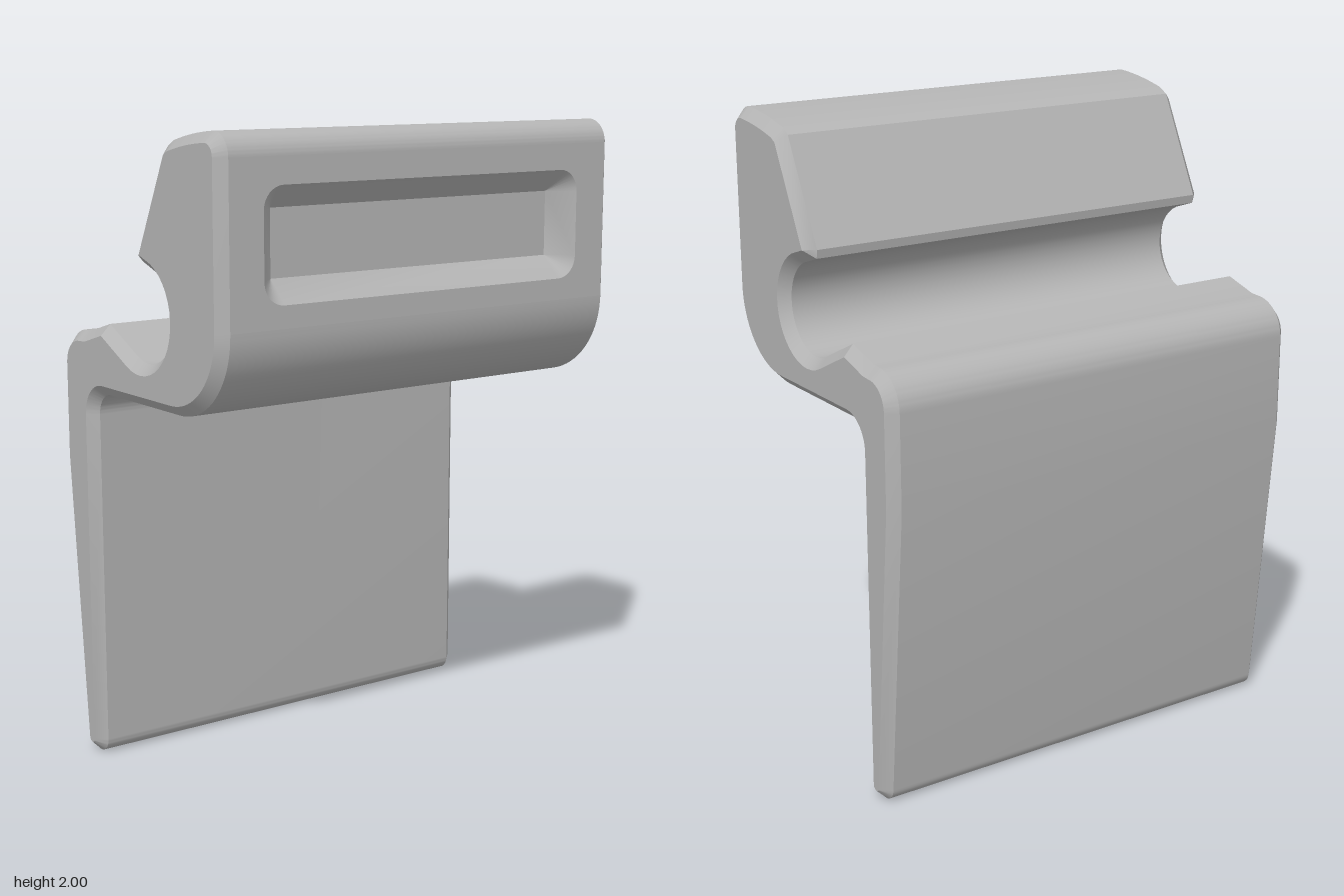
import * as THREE from 'three';
import { toCreasedNormals } from 'three/addons/utils/BufferGeometryUtils.js';

const WIDTH = 1.47, CHAMFER = 0.032, FRONT = 0.458;
const FACE_BOTTOM = 1.447, FACE_TOP = 1.93;
const rad = THREE.MathUtils.degToRad;

// Side profile, drawn as (z, y)
function clipProfile() {
  const s = new THREE.Shape();
  const arc = (z, y, r, a, b, cw = false) => s.absarc(z, y, r, rad(a), rad(b), cw);
  s.moveTo(FRONT, FACE_BOTTOM);
  s.lineTo(FRONT, FACE_TOP);
  arc(FRONT - 0.07, FACE_TOP, 0.07, 0, 90);           // top front edge
  s.quadraticCurveTo(0.28, 1.993, 0.18, 1.966);       // crowned top
  s.lineTo(0.148, 1.948);
  s.lineTo(-0.007, 1.635);                            // sloped back of the jaw
  s.lineTo(-0.003, 1.608);
  arc(0.02, 1.45, 0.143, 66, -117, true);             // round channel
  s.lineTo(-0.204, 1.4);                              // ridge
  s.lineTo(-0.315, 1.367);
  arc(-0.346, 1.255, 0.11, 90, 180);                  // shoulder
  s.lineTo(-0.456, 0.96);
  arc(-0.328, 0.047, 0.047, 184, 360);                // tip of the leg
  arc(-0.21, 1.108, 0.071, 180, 90, true);            // inner fillet
  arc(0.19, FACE_BOTTOM, FRONT - 0.19, -90, 0);       // rounded underside
  return s;
}

// Chamfered extrusion along x, with its flat front face left open
function bodyGeometry() {
  const depth = WIDTH - 2 * CHAMFER;
  const geo = new THREE.ExtrudeGeometry(clipProfile(), {
    depth, curveSegments: 10, bevelEnabled: true, bevelSegments: 1,
    bevelSize: CHAMFER, bevelThickness: CHAMFER, bevelOffset: -CHAMFER,
  });
  geo.translate(0, 0, -depth / 2).rotateY(-Math.PI / 2);
  const p = geo.attributes.position, kept = [];
  for (let i = 0; i < p.count; i += 3) {
    const corners = [i, i + 1, i + 2];
    if (corners.every((k) => p.getZ(k) > FRONT - 1e-5)) continue;
    corners.forEach((k) => kept.push(p.getX(k), p.getY(k), p.getZ(k)));
  }
  const open = new THREE.BufferGeometry();
  open.setAttribute('position', new THREE.Float32BufferAttribute(kept, 3));
  return toCreasedNormals(open, rad(28));
}

// Recess: rounded rim sloping to a square-cornered floor
const RECESS = { y: 1.682, halfW: 0.52, halfH: 0.1, slope: 0.068, depth: 0.07 };

function recessLoops(steps = 8) {
  const { y, halfW, halfH, slope } = RECESS, rim = [], floor = [];
  [[1, 1], [-1, 1], [-1, -1], [1, -1]].forEach(([sx, sy], q) => {
    for (let i = 0; i <= steps; i++) {
      const a = (q + i / steps) * Math.PI / 2;
      const cx = sx * halfW, cy = y + sy * halfH;
      rim.push(new THREE.Vector2(cx + slope * Math.cos(a), cy + slope * Math.sin(a)));
      floor.push(new THREE.Vector2(cx, cy));
    }
  });
  return { rim, floor };
}

function recessWallGeometry({ rim, floor }) {
  const pos = [], back = FRONT - RECESS.depth;
  rim.forEach((a, i) => {
    const j = (i + 1) % rim.length, b = rim[j], c = floor[j], d = floor[i];
    pos.push(a.x, a.y, FRONT, b.x, b.y, FRONT, c.x, c.y, back);
    if (c.distanceTo(d) > 1e-6) pos.push(a.x, a.y, FRONT, c.x, c.y, back, d.x, d.y, back);
  });
  const geo = new THREE.BufferGeometry();
  geo.setAttribute('position', new THREE.Float32BufferAttribute(pos, 3));
  return toCreasedNormals(geo, rad(28));
}

export function createModel() {
  const group = new THREE.Group();
  group.name = 'clip';
  const grey = new THREE.MeshStandardMaterial({ color: 0xb4b4b4 });
  grey.name = 'grey';
  const add = (name, geo) => {
    const mesh = new THREE.Mesh(geo, grey);
    mesh.name = name;
    group.add(mesh);
    return mesh;
  };

  add('clipBody', bodyGeometry());

  // Front face with the opening of the recess
  const loops = recessLoops();
  const w = WIDTH / 2 - CHAMFER;
  const face = new THREE.Shape([
    new THREE.Vector2(-w, FACE_BOTTOM), new THREE.Vector2(w, FACE_BOTTOM),
    new THREE.Vector2(w, FACE_TOP), new THREE.Vector2(-w, FACE_TOP),
  ]);
  face.holes.push(new THREE.Path(loops.rim));
  add('frontFace', new THREE.ShapeGeometry(face)).position.z = FRONT;

  // Label recess
  add('recessWalls', recessWallGeometry(loops));
  const floor = add('recessFloor', new THREE.PlaneGeometry(2 * RECESS.halfW, 2 * RECESS.halfH));
  floor.position.set(0, RECESS.y, FRONT - RECESS.depth);

  return group;
}
